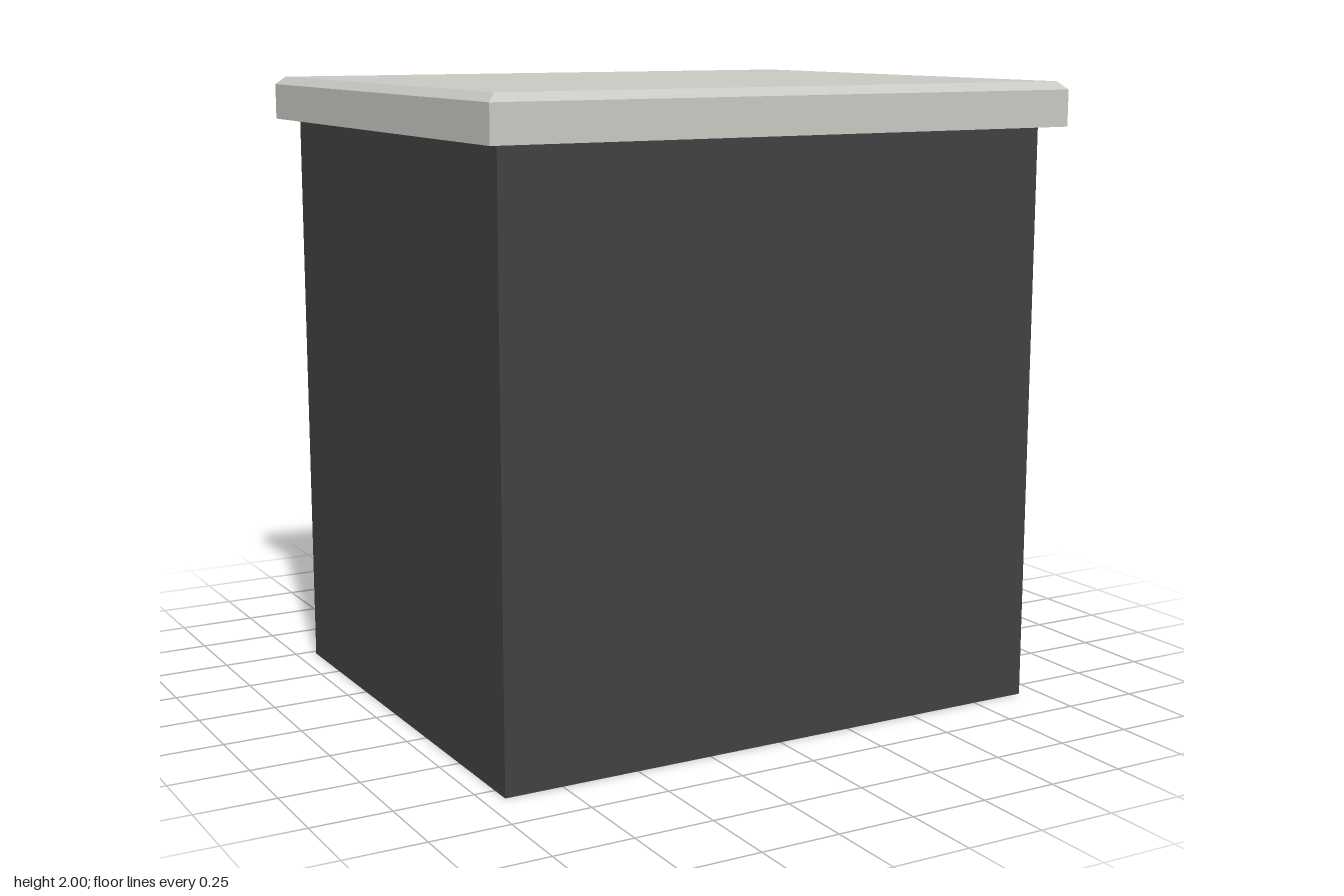
import * as THREE from 'three';

// Box standing on y = 0 whose top edges are chamfered by insetX, insetZ and drop.
function chamferedSlab(width, height, depth, insetX, insetZ, drop) {
  const box = new THREE.BoxGeometry(width, height, depth, 1, 2, 1);
  box.translate(0, height / 2, 0);
  const p = box.attributes.position;
  for (let i = 0; i < p.count; i++) {
    const y = p.getY(i);
    if (y > height * 0.75) {
      p.setX(i, p.getX(i) - Math.sign(p.getX(i)) * insetX);
      p.setZ(i, p.getZ(i) - Math.sign(p.getZ(i)) * insetZ);
    } else if (y > height * 0.25) {
      p.setY(i, height - drop);
    }
  }
  const flat = box.toNonIndexed();
  flat.computeVertexNormals();
  return flat;
}

export function createModel() {
  const model = new THREE.Group();
  model.name = 'drawerCabinet';

  const material = (name, color) => new THREE.MeshStandardMaterial({ name, color });
  const charcoal = material('charcoal', 0x414141);
  const paleStone = material('paleStone', 0xc8c9c2);
  const tanWood = material('tanWood', 0xa9836a);
  const darkBronze = material('darkBronze', 0x332a20);

  const add = (parent, name, geometry, mat, x, y, z) => {
    const mesh = new THREE.Mesh(geometry, mat);
    mesh.name = name;
    mesh.position.set(x, y, z);
    parent.add(mesh);
    return mesh;
  };

  // Cabinet body and overhanging worktop
  add(model, 'cabinetBody', new THREE.BoxGeometry(1.87, 1.86, 1.545), charcoal, 0, 0.93, 0.0475);
  add(model, 'worktop', chamferedSlab(1.98, 0.14, 1.7, 0.027, 0.027, 0.025), paleStone, 0, 1.86, 0.045);

  // Three drawers on the -z side, each with a flattened round knob
  const panel = chamferedSlab(1.39, 0.065, 0.453, 0.012, 0.006, 0.02);
  panel.rotateX(-Math.PI / 2);
  const knob = new THREE.SphereGeometry(0.082, 32, 20);
  knob.scale(1, 1, 0.73);
  ['bottom', 'middle', 'top'].forEach((label, i) => {
    const drawer = new THREE.Group();
    drawer.name = label + 'Drawer';
    drawer.position.set(0.02, 0.4 + i * 0.556, -0.725);
    add(drawer, label + 'DrawerFront', panel, tanWood, 0, 0, 0);
    add(drawer, label + 'DrawerKnob', knob, darkBronze, 0, 0, -0.11);
    model.add(drawer);
  });

  return model;
}
